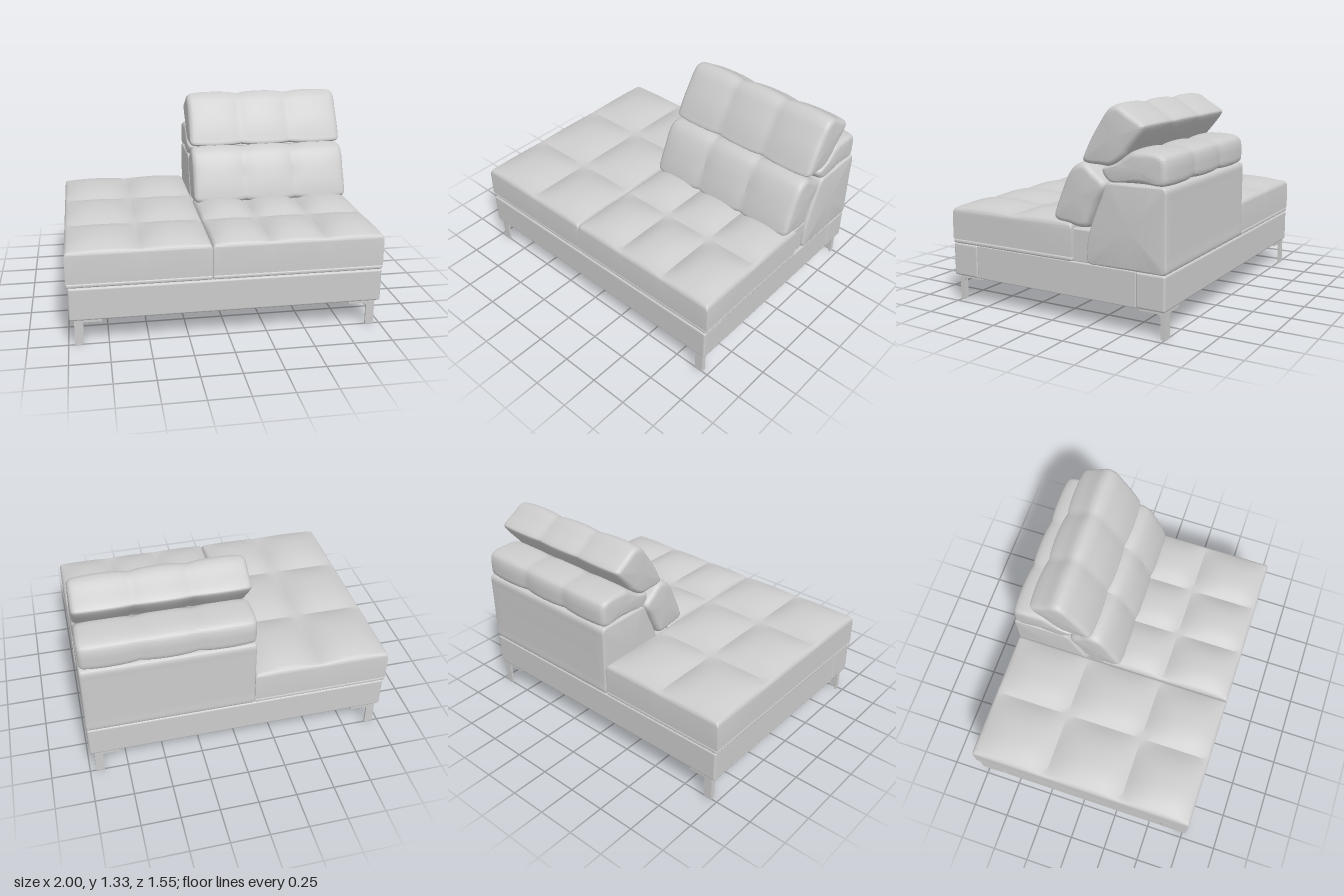
import * as THREE from 'three';
import { toCreasedNormals } from 'three/addons/utils/BufferGeometryUtils.js';
import { RoundedBoxGeometry } from 'three/addons/geometries/RoundedBoxGeometry.js';

const material = new THREE.MeshStandardMaterial({ color: 0xcccccc, side: THREE.DoubleSide });

function addMesh(parent, name, geometry) {
  const mesh = new THREE.Mesh(geometry, material);
  mesh.name = name;
  parent.add(mesh);
  return mesh;
}

// Rounded box given by its limits
function addBox(parent, name, [x0, x1], [y0, y1], [z0, z1], r) {
  const mesh = addMesh(parent, name, new RoundedBoxGeometry(x1 - x0, y1 - y0, z1 - z0, 3, r));
  mesh.position.set((x0 + x1) / 2, (y0 + y1) / 2, (z0 + z1) / 2);
  return mesh;
}

// Sample positions over stitched panels, denser in the rounded ends
function samples(stops, r, perPanel = 14) {
  const a = stops[0], b = stops[stops.length - 1], out = [];
  for (let i = 0; i <= 5; i++) {
    const d = r * (1 - Math.cos(i / 5 * Math.PI / 2));
    out.push(a + d, b - d);
  }
  for (let p = 0; p < stops.length - 1; p++)
    for (let i = 0; i <= perPanel; i++) {
      const v = stops[p] + (stops[p + 1] - stops[p]) * i / perPanel;
      if (v > a + r * 1.05 && v < b - r * 1.05 && !(p > 0 && i === 0)) out.push(v);
    }
  return out.sort((m, n) => m - n);
}

// 0 on the seams, 1 in the middle of a panel
function puff(v, stops) {
  let p = 0;
  while (p < stops.length - 2 && v > stops[p + 1]) p++;
  const s = 2 * (v - stops[p]) / (stops[p + 1] - stops[p]) - 1;
  return Math.max(0, 1 - Math.abs(s) ** 2.4);
}

// Drop of a quarter-round edge near both ends
function edge(v, stops, r) {
  const d = Math.min(v - stops[0], stops[stops.length - 1] - v);
  return d >= r ? 0 : r - Math.sqrt(Math.max(0, r * r - (r - d) ** 2));
}

// Closed loft along x through sections of (z, y) points
function loft(xs, section) {
  const pos = [];
  const rings = xs.map(x => {
    const ring = section(x);
    if (THREE.ShapeUtils.area(ring) > 0) ring.reverse();
    return ring.map(p => [x, p.y, p.x]);
  });
  const n = rings[0].length;
  for (let i = 0; i < rings.length - 1; i++)
    for (let j = 0; j < n; j++) {
      const k = (j + 1) % n;
      const a = rings[i][j], b = rings[i][k], c = rings[i + 1][k], d = rings[i + 1][j];
      pos.push(...a, ...b, ...c, ...a, ...c, ...d);
    }
  for (const [ring, flip] of [[rings[0], true], [rings[rings.length - 1], false]]) {
    const c = [0, 1, 2].map(q => ring.reduce((s, p) => s + p[q], 0) / n);
    for (let j = 0; j < n; j++) {
      const a = ring[j], b = ring[(j + 1) % n];
      pos.push(...c, ...(flip ? b : a), ...(flip ? a : b));
    }
  }
  const g = new THREE.BufferGeometry();
  g.setAttribute('position', new THREE.Float32BufferAttribute(pos, 3));
  return toCreasedNormals(g, 0.4);
}

// Seat pad: quilted top over straight sides, with a thin band below
function addSeat(parent, name, xStops, zStops) {
  const r = 0.022, xs = samples(xStops, r), zs = samples(zStops, r);
  const z0 = zs[0], z1 = zs[zs.length - 1];
  const group = new THREE.Group();
  group.name = name;
  parent.add(group);
  addMesh(group, 'seatPad', loft(xs, x => {
    const ring = zs.map(z => new THREE.Vector2(z,
      0.615 + 0.05 * puff(x, xStops) * puff(z, zStops) - edge(x, xStops, r) - edge(z, zStops, r)));
    ring.push(new THREE.Vector2(z1, 0.412), new THREE.Vector2(z0, 0.412));
    return ring;
  }));
  addBox(group, 'seatBand', [xs[0], xs[xs.length - 1]], [0.385, 0.412], [z0, z1], 0.011);
}

// Upholstered profile swept across x, pinched at the seams and rounded at the ends
function addUpholstery(parent, name, xStops, points, pinch, r) {
  const curve = new THREE.CatmullRomCurve3(points.map(([z, y]) => new THREE.Vector3(z, y, 0)), true);
  const base = curve.getPoints(points.length * 5).slice(0, -1).map(p => new THREE.Vector2(p.x, p.y));
  const centre = base.reduce((s, p) => s.add(p), new THREE.Vector2()).divideScalar(base.length);
  return addMesh(parent, name, loft(samples(xStops, r), x => {
    const inset = pinch * (1 - puff(x, xStops)) + edge(x, xStops, r);
    return base.map(p => p.clone().add(centre.clone().sub(p).setLength(inset)));
  }));
}

// One bracket arm: upright with a filleted horizontal flange
function armGeometry(width, reach, fillet) {
  const s = new THREE.Shape();
  s.moveTo(0, 0);
  s.lineTo(width, 0);
  s.lineTo(width, 0.15 - fillet);
  s.quadraticCurveTo(width, 0.15, width + fillet, 0.15);
  s.lineTo(reach, 0.15);
  s.lineTo(reach, 0.172);
  s.lineTo(0, 0.172);
  s.closePath();
  return new THREE.ExtrudeGeometry(s, { depth: 0.012, bevelEnabled: false, curveSegments: 6 });
}

function addLeg(parent, sx, sz) {
  const leg = new THREE.Group();
  leg.name = (sz > 0 ? 'front' : 'back') + (sx > 0 ? 'Left' : 'Right') + 'Leg';
  leg.position.set(sx * 0.96, 0, sz * 0.755);
  parent.add(leg);
  const across = addMesh(leg, 'legFace', armGeometry(0.055, 0.17, 0.006));
  across.rotation.y = sx > 0 ? Math.PI : 0;
  across.position.z = sz > 0 ? (sx > 0 ? 0 : -0.012) : (sx > 0 ? 0.012 : 0);
  const along = addMesh(leg, 'legSide', armGeometry(0.032, 0.175, 0.03));
  along.rotation.y = sz > 0 ? Math.PI / 2 : -Math.PI / 2;
  along.position.x = sz > 0 ? (sx > 0 ? -0.012 : 0) : (sx > 0 ? 0 : 0.012);
  // Mounting flanges
  for (const [w, d] of [[0.17, 0.04], [0.04, 0.175]]) {
    const plate = addMesh(leg, 'legPlate', new THREE.BoxGeometry(w, 0.012, d));
    plate.position.set(-sx * w / 2, 0.162, -sz * d / 2);
  }
}

export function createModel() {
  const model = new THREE.Group();
  model.name = 'chaiseSofa';

  // Base frame in three sections
  addBox(model, 'frontRail', [-0.99, 0.99], [0.17, 0.385], [0.583, 0.775], 0.014);
  addBox(model, 'baseFrame', [-0.988, 0.988], [0.17, 0.385], [-0.577, 0.585], 0.006);
  addBox(model, 'backRail', [-0.99, 0.99], [0.17, 0.385], [-0.765, -0.575], 0.014);
  for (const sx of [-1, 1]) for (const sz of [-1, 1]) addLeg(model, sx, sz);

  // Seats
  addSeat(model, 'chaiseSeat', [-1, -0.54, -0.1], [-0.765, -0.24, 0.29, 0.77]);
  addSeat(model, 'mainSeat', [-0.098, 0.265, 0.62, 0.995], [-0.145, 0.3, 0.77]);
  addBox(model, 'seatSupport', [-0.08, 0.97], [0.38, 0.585], [-0.3, -0.13], 0.01);

  // Backrest housing
  addUpholstery(model, 'backPanel', [-0.1, 0.992], [
    [-0.265, 0.387], [-0.25, 0.4], [-0.25, 0.47], [-0.256, 0.54], [-0.29, 0.65], [-0.34, 0.77],
    [-0.378, 0.858], [-0.4, 0.88], [-0.45, 0.883], [-0.58, 0.883], [-0.7, 0.883], [-0.755, 0.88],
    [-0.768, 0.865], [-0.77, 0.8], [-0.77, 0.64], [-0.77, 0.47], [-0.77, 0.4], [-0.758, 0.387],
    [-0.7, 0.385], [-0.5, 0.385], [-0.32, 0.385]], 0, 0.016);

  // Three-panel cushions of the backrest
  const panels = [-0.102, 0.265, 0.62, 0.988];
  addUpholstery(model, 'backShelfCushion', panels, [
    [-0.385, 0.882], [-0.34, 0.93], [-0.34, 0.955], [-0.42, 0.99], [-0.5, 1.05], [-0.54, 1.073],
    [-0.62, 1.078], [-0.72, 1.066], [-0.757, 1.045], [-0.77, 1.01], [-0.773, 0.95], [-0.768, 0.9],
    [-0.75, 0.882], [-0.65, 0.88], [-0.5, 0.88]], 0.014, 0.03);
  addUpholstery(model, 'lowerBackCushion', panels, [
    [-0.005, 0.635], [-0.012, 0.68], [-0.045, 0.78], [-0.1, 0.9], [-0.15, 0.965], [-0.2, 0.988],
    [-0.24, 0.985], [-0.3, 0.94], [-0.37, 0.885], [-0.378, 0.86], [-0.33, 0.76], [-0.27, 0.64],
    [-0.24, 0.592], [-0.2, 0.583], [-0.1, 0.6], [-0.025, 0.615]], 0.018, 0.03);
  addUpholstery(model, 'headrest', panels, [
    [-0.208, 0.99], [-0.22, 1.03], [-0.27, 1.14], [-0.34, 1.25], [-0.38, 1.3], [-0.42, 1.326],
    [-0.46, 1.327], [-0.54, 1.28], [-0.62, 1.23], [-0.632, 1.215], [-0.62, 1.185], [-0.57, 1.115],
    [-0.525, 1.06], [-0.49, 1.02], [-0.4, 0.965], [-0.31, 0.968], [-0.23, 0.975]], 0.016, 0.03);

  return model;
}
